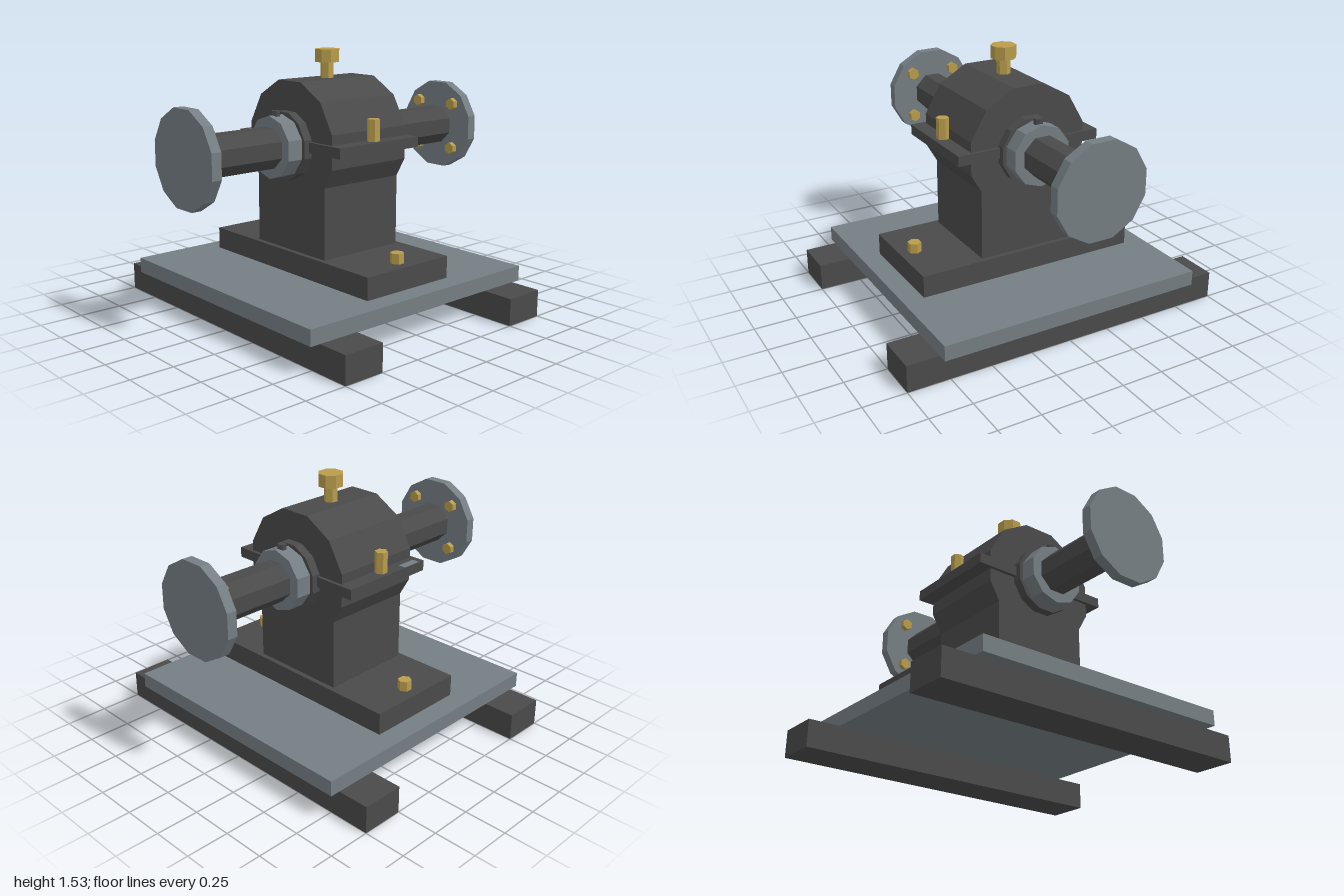
import * as THREE from 'three';

const mat = (name, color) => {
  const m = new THREE.MeshStandardMaterial({ color, flatShading: true });
  m.name = name;
  return m;
};

export function createModel() {
  const group = new THREE.Group();
  const iron = mat('dark iron', 0x4a4a4a);
  const steel = mat('grey steel', 0x757e83);
  const brass = mat('brass', 0xb89c4c);
  const AXIS = 1.0; // height of the shaft centre line

  const add = (name, geometry, material, x, y, z) => {
    const mesh = new THREE.Mesh(geometry, material);
    mesh.name = name;
    mesh.position.set(x, y, z);
    group.add(mesh);
    return mesh;
  };
  const box = (name, material, w, y0, y1, d, x = 0, z = 0) =>
    add(name, new THREE.BoxGeometry(w, y1 - y0, d), material, x, (y0 + y1) / 2, z);
  // Upright prism from y0 to y1; turn is a fraction of one side
  const post = (name, material, r, sides, y0, y1, x, z, turn = 0) =>
    add(name, new THREE.CylinderGeometry(r, r, y1 - y0, sides)
      .rotateY(turn * 2 * Math.PI / sides), material, x, (y0 + y1) / 2, z);
  // Prism lying along z; turn 0.5 puts a flat on top
  const along = (name, material, r, sides, z0, z1, turn = 0, x = 0, y = AXIS) =>
    add(name, new THREE.CylinderGeometry(r, r, Math.abs(z1 - z0), sides)
      .rotateY(turn * 2 * Math.PI / sides).rotateX(Math.PI / 2), material, x, y, (z0 + z1) / 2);

  // Base
  for (const s of [-1, 1]) box('baseRail', iron, 2, 0, 0.16, 0.25, 0, s * 0.625);
  box('basePlate', steel, 1.62, 0.16, 0.25, 1.62);
  box('pedestalFoot', iron, 1.37, 0.25, 0.38, 0.62);

  // Bearing housing
  box('pedestal', iron, 0.6, 0.38, 1.0, 0.56);
  along('bearingHousing', iron, 0.376, 12, -0.28, 0.28, 0.5);
  box('splitFlange', iron, 0.9, 0.98, 1.04, 0.6);
  box('flangePatch', steel, 0.045, 1.039, 1.042, 0.12, -0.425, 0.2);

  // Oil cap on top
  post('oilCapStem', brass, 0.04, 6, 1.35, 1.455, 0, 0);
  post('oilCapHead', brass, 0.074, 8, 1.455, 1.53, 0, 0, 0.5);

  // Bolts of foot and split flange
  for (const s of [-1, 1]) {
    post('footBolt', brass, 0.04, 6, 0.38, 0.44, s * 0.593, 0);
    post('flangeBolt', brass, 0.037, 6, 1.04, 1.165, s * 0.393, 0);
  }

  // Shaft with collars and end couplings
  along('shaft', iron, 0.122, 8, -0.945, 0.945, 0.5);
  for (const s of [-1, 1]) {
    along('bearingSeal', iron, 0.199, 12, s * 0.27, s * 0.333, 0.5);
    along('lockCollar', steel, 0.18, 10, s * 0.333, s * 0.428);
    post('setScrew', iron, 0.026, 6, 1.15, 1.205, 0, s * 0.38);
    along('couplingDisc', steel, 0.28, 12, s * 0.94, s, 0.5);
    for (const sx of [-1, 1]) for (const sy of [-1, 1])
      along('couplingBolt', brass, 0.037, 6, s * 0.907, s * 0.945, 0, sx * 0.142, AXIS + sy * 0.142);
  }
  return group;
}
